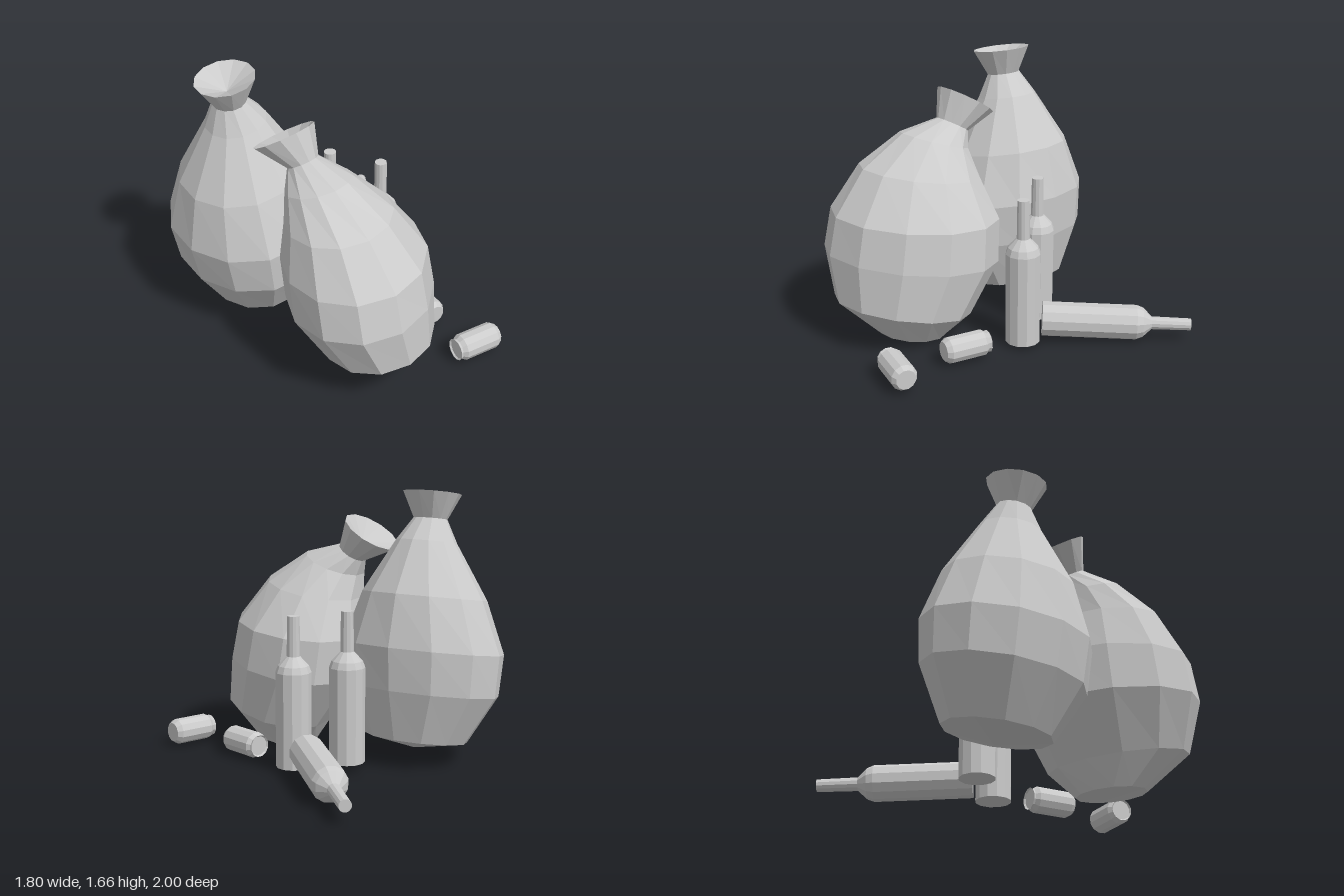
import * as THREE from 'three';

const material = new THREE.MeshStandardMaterial({ color: 0xcccccc, flatShading: true });
const SIDES = 12;

// Skin through tilted elliptical rings, listed bottom to top:
// [x, y, z, radiusU, radiusV, slope towards +x, slope towards +z] (degrees);
// yaw turns the ellipses about the vertical
function createBag(name, yaw, rings) {
  const positions = [], index = [];
  const cos = Math.cos(yaw), sin = Math.sin(yaw);
  for (const [x, y, z, ru, rv, slopeX, slopeZ] of rings) {
    const tx = THREE.MathUtils.degToRad(slopeX), tz = THREE.MathUtils.degToRad(slopeZ);
    for (let i = 0; i < SIDES; i++) {
      const a = (i / SIDES) * Math.PI * 2;
      const u = ru * Math.cos(a), v = rv * Math.sin(a);
      const dx = u * cos + v * sin, dz = v * cos - u * sin;
      positions.push(x + dx * Math.cos(tx), y + dx * Math.sin(tx) + dz * Math.sin(tz), z + dz * Math.cos(tz));
    }
  }
  for (let r = 0; r < rings.length - 1; r++) {
    for (let i = 0; i < SIDES; i++) {
      const a = r * SIDES + i, b = r * SIDES + (i + 1) % SIDES;
      const c = a + SIDES, d = b + SIDES;
      // a ring of zero radius closes the skin with a fan
      if (rings[r + 1][3] > 0) index.push(a, c, d);
      if (rings[r][3] > 0) index.push(a, d, b);
    }
  }
  const geometry = new THREE.BufferGeometry();
  geometry.setAttribute('position', new THREE.Float32BufferAttribute(positions, 3));
  geometry.setIndex(index);
  geometry.computeVertexNormals();
  const mesh = new THREE.Mesh(geometry, material);
  mesh.name = name;
  return mesh;
}

// Turned object whose base sits at `base` and whose axis points along `axis`
function createTurned(name, profile, base, axis) {
  const points = profile.map(([r, y]) => new THREE.Vector2(r, y));
  const mesh = new THREE.Mesh(new THREE.LatheGeometry(points, 12), material);
  mesh.name = name;
  mesh.position.set(...base);
  mesh.quaternion.setFromUnitVectors(new THREE.Vector3(0, 1, 0), new THREE.Vector3(...axis).normalize());
  return mesh;
}

export function createModel() {
  const model = new THREE.Group();
  model.name = 'rubbishPile';

  // Tall bag at the back, leaning to its right; the last ring is the gathered mouth
  model.add(createBag('backBag', 0, [
    [-0.37, 0.09, -0.49, 0, 0, 9, 0],
    [-0.39, 0.15, -0.49, 0.28, 0.325, 9, 0],
    [-0.445, 0.445, -0.49, 0.405, 0.495, 9, 0],
    [-0.465, 0.70, -0.49, 0.437, 0.51, 9, 0],
    [-0.475, 1.02, -0.49, 0.365, 0.385, 9, 0],
    [-0.49, 1.35, -0.49, 0.18, 0.185, 9, 0],
    [-0.525, 1.485, -0.495, 0.095, 0.105, 9, 0],
    [-0.545, 1.64, -0.495, 0.178, 0.178, 9, 0],
    [-0.535, 1.55, -0.495, 0, 0, 9, 0],
  ]));

  // Slumped bag in front, turned and bending backwards
  model.add(createBag('frontBag', Math.PI / 4, [
    [-0.35, 0.012, 0.43, 0, 0, 0, 0],
    [-0.345, 0.037, 0.44, 0.21, 0.19, 0, 7],
    [-0.355, 0.235, 0.50, 0.42, 0.335, 0, 11],
    [-0.395, 0.53, 0.39, 0.535, 0.43, 0, 7],
    [-0.40, 0.78, 0.35, 0.515, 0.42, 0, 5],
    [-0.44, 1.025, 0.275, 0.37, 0.31, 0, 9],
    [-0.46, 1.185, 0.14, 0.215, 0.195, 0, 19],
    [-0.445, 1.26, 0.005, 0.105, 0.095, 0, 31],
    [-0.465, 1.39, -0.12, 0.188, 0.188, 0, 33],
    [-0.455, 1.32, -0.055, 0, 0, 0, 33],
  ]));

  // Two standing bottles and one lying down
  const bottle = [[0, 0], [0.107, 0], [0.107, 0.575], [0.092, 0.615], [0.04, 0.67], [0.037, 0.91], [0, 0.91]];
  model.add(createTurned('standingBottleFront', bottle, [0.203, 0.033, 0.015], [0, 1, 0]));
  model.add(createTurned('standingBottleBack', bottle, [0.036, 0.065, -0.257], [0.008, 1, 0]));
  model.add(createTurned('lyingBottle', bottle, [0.246, 0.15, -0.108], [0.62, -0.032, -0.647]));

  // Two cans on their sides, each with a recessed top
  const can = [[0, 0], [0.06, 0], [0.08, 0.03], [0.08, 0.25], [0.062, 0.275], [0.068, 0.29], [0.06, 0.28], [0, 0.28]];
  model.add(createTurned('canBeside', can, [0.107, 0.107, 0.562], [0.25, 0, -0.96]));
  model.add(createTurned('canFront', can, [0.226, 0.108, 0.934], [-0.957, 0, -0.29]));

  return model;
}
